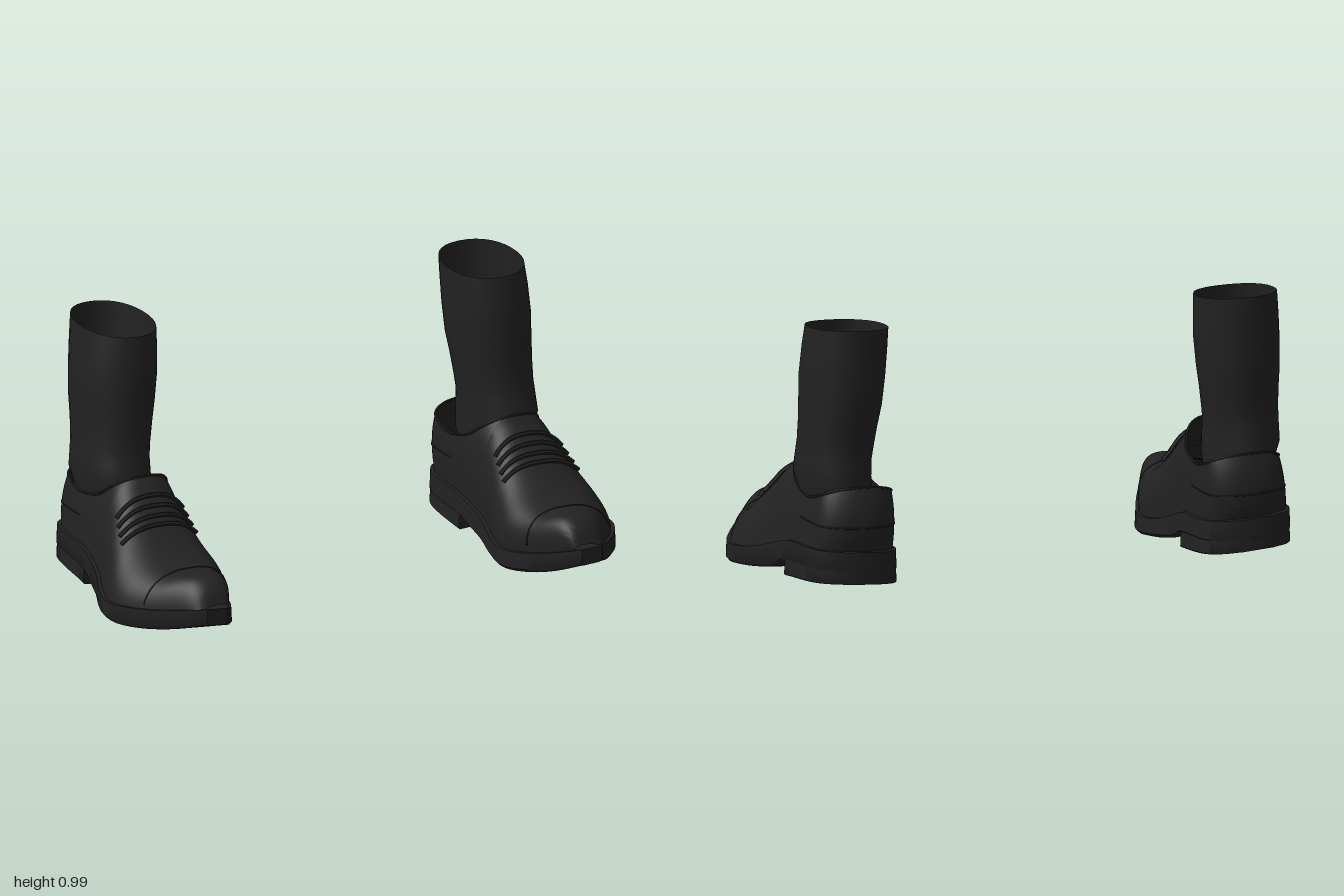
import * as THREE from 'three';
import { mergeGeometries, mergeVertices, toCreasedNormals } from 'three/addons/utils/BufferGeometryUtils.js';

// Smooth lookup in a table of [z, value] pairs, z ascending
function at(table, z) {
  const n = table.length;
  if (z <= table[0][0]) return table[0][1];
  if (z >= table[n - 1][0]) return table[n - 1][1];
  let i = 0;
  while (z > table[i + 1][0]) i++;
  const slope = (k) => {
    const a = table[Math.max(k - 1, 0)], b = table[Math.min(k + 1, n - 1)];
    return (b[1] - a[1]) / (b[0] - a[0]);
  };
  const h = table[i + 1][0] - table[i][0], t = (z - table[i][0]) / h, t2 = t * t, t3 = t2 * t;
  return (2 * t3 - 3 * t2 + 1) * table[i][1] + (t3 - 2 * t2 + t) * h * slope(i)
    + (3 * t2 - 2 * t3) * table[i + 1][1] + (t3 - t2) * h * slope(i + 1);
}

// Plan outline and heights of the shoe along z
const INNER = [[-.505, .69], [-.485, .635], [-.45, .595], [-.38, .573], [-.2, .572], [-.05, .582], [.08, .558],
  [.18, .546], [.3, .585], [.4, .632], [.47, .672], [.5, .70]];
const OUTER = [[-.505, .80], [-.485, .85], [-.45, .885], [-.38, .905], [-.2, .914], [-.05, .94], [.05, .978],
  [.13, .999], [.2, .99], [.3, .94], [.4, .872], [.47, .822], [.5, .785]];
const SOLE_TOP = [[-.5, .198], [-.35, .19], [-.2, .177], [-.1, .148], [0, .113], [.1, .092], [.2, .09], [.3, .1], [.4, .12], [.5, .145]];
const SOLE_BOTTOM = [[-.5, .12], [-.18, .095], [-.1, .062], [0, .038], [.1, .026], [.2, .02], [.3, .028], [.4, .05], [.5, .086]];
const HEEL_BOTTOM = [[-.5, .082], [-.185, .048]];
const RIDGE = [[-.5, .58], [-.3, .55], [-.17, .515], [-.1, .492], [-.06, .47], [0, .412], [.05, .36], [.1, .315],
  [.15, .277], [.2, .252], [.25, .237], [.3, .233], [.36, .239], [.4, .236], [.43, .222], [.46, .192], [.48, .15]];
const COLLAR = [[-.485, .42], [-.4, .387], [-.3, .366], [-.17, .39], [-.1, .437], [-.06, .47]];
const tilt = (x) => .075 * (x - .77);
const THROAT = -.06, BACK = -.485, POWER = .8;

// Triangle grid through rows of points
function grid(rows, closed) {
  const m = rows[0].length, index = [];
  for (let i = 0; i < rows.length - 1; i++) {
    for (let j = 0; j < (closed ? m : m - 1); j++) {
      const k = (j + 1) % m, a = i * m + j, b = i * m + k, c = a + m, d = b + m;
      index.push(a, b, c, b, d, c);
    }
  }
  const g = new THREE.BufferGeometry();
  g.setAttribute('position', new THREE.Float32BufferAttribute(rows.flat(2), 3));
  g.setIndex(index);
  return g;
}

// Collapse a ring to its centre, to cap a loft
const capRow = (row) => {
  const c = [0, 1, 2].map((k) => row.reduce((sum, p) => sum + p[k], 0) / row.length);
  return row.map(() => c);
};

// Slab following the plan outline between two heights
function slab(z0, z1, bottom, top, bevel) {
  const rows = [], n = 48;
  for (let i = 0; i <= n; i++) {
    const z = z0 + (z1 - z0) * (.5 - .5 * Math.cos(Math.PI * i / n));
    const l = at(INNER, z), r = at(OUTER, z), b = at(bottom, z), t = at(top, z);
    rows.push([[l + bevel, b], [l, b + bevel], [l + .003, t], [r - .003, t], [r, b + bevel], [r - bevel, b]]
      .map(([x, y]) => [x, y + tilt(x), z]));
  }
  return grid([capRow(rows[0]), ...rows, capRow(rows[n])], true);
}

// Point on the leather upper: side is -1 or 1, u runs from the welt (0) to the ridge (PI / 2)
function upperPoint(z, side, u, lift = 0) {
  const zo = Math.max(z, -.4), l = at(INNER, zo), r = at(OUTER, zo);
  const t = Math.min(Math.max((-.4 - z) / .085, 0), 1);
  const w = ((r - l) / 2 - .016) * Math.sqrt(1 - t * t) + lift;
  const c = Math.max(Math.cos(u), 0) ** POWER, s = Math.sin(u) ** POWER;
  const x = (l + r) / 2 + side * w * c - .02 * s;
  const base = at(SOLE_TOP, z) - .01 + tilt(x) * (1 - s);
  const y = base + (at(RIDGE, z) + lift - base) * s;
  // rounded heel bulge
  const k = THREE.MathUtils.smoothstep(-z, .3, .485);
  return [x, y, z - k * (.012 + lift - 1.8 * (y - .28) ** 2)];
}

// Angle u at which the upper reaches a given height
function angleAt(z, y) {
  const base = at(SOLE_TOP, z) - .01;
  const f = Math.min(Math.max((y - base) / (at(RIDGE, z) - base), 0), 1);
  return Math.asin(f ** (1 / POWER));
}
const openAngle = (z) => (z >= THROAT ? Math.PI / 2 : angleAt(z, at(COLLAR, z)));

const zRows = [];
for (let i = 0; i <= 30; i++) zRows.push(.48 - (.48 - THROAT) * (i / 30) ** 1.5);
for (let i = 1; i <= 26; i++) zRows.push(THROAT + (BACK - THROAT) * (.5 - .5 * Math.cos(Math.PI * i / 26)));

function upperGeometry() {
  const n = 14;
  const halves = [-1, 1].map((side) => grid(zRows.map((z) => {
    const row = [];
    for (let j = 0; j <= n; j++) row.push(upperPoint(z, side, openAngle(z) * (side < 0 ? j : n - j) / n));
    return row;
  }), false));
  return mergeVertices(mergeGeometries(halves), 1e-5);
}

function tube(points, radius, segments, closed = false) {
  const curve = new THREE.CatmullRomCurve3(points.map((p) => new THREE.Vector3(...p)), closed);
  return new THREE.TubeGeometry(curve, segments, radius, 6, closed);
}

// Line running round the heel from one side to the other
function roundHeel(heightAt, from) {
  const zs = zRows.filter((z) => z <= from);
  const line = (side) => zs.map((z) => upperPoint(z, side, heightAt(z)));
  return [...line(-1), ...line(1).reverse().slice(1)];
}

// Line across the instep or toe
function across(z, u0, lift) {
  const pts = [];
  for (let i = 0; i <= 16; i++) {
    const a = u0 + (Math.PI - 2 * u0) * i / 16;
    pts.push(a <= Math.PI / 2 ? upperPoint(z, -1, a, lift) : upperPoint(z, 1, Math.PI - a, lift));
  }
  return pts;
}

// Sock rings: height, inner x, outer x, back z, front z
const SOCK = [[.2, .66, .85, -.43, -.16], [.3, .645, .865, -.44, -.12], [.38, .64, .875, -.448, -.09],
  [.44, .642, .893, -.455, -.085], [.5, .64, .89, -.447, -.104], [.55, .632, .887, -.446, -.116], [.62, .622, .885, -.457, -.118],
  [.7, .608, .886, -.472, -.12], [.8, .597, .885, -.478, -.12], [.9, .592, .878, -.482, -.133], [.975, .59, .87, -.485, -.145]];

function sockGeometry() {
  const n = 32;
  const rows = SOCK.map(([y, l, r, b, f], i) => {
    const ring = [];
    for (let j = 0; j < n; j++) {
      const a = j / n * Math.PI * 2, c = Math.cos(a), s = Math.sin(a);
      const round = (v) => Math.sign(v) * Math.abs(v) ** .9;
      const slope = i === SOCK.length - 1 ? .017 * s + .006 * c : 0;
      ring.push([(l + r) / 2 + (r - l) / 2 * round(c), y + slope, (b + f) / 2 - (f - b) / 2 * round(s)]);
    }
    return ring;
  });
  return grid([capRow(rows[0]), ...rows], true);
}

export function createModel() {
  const model = new THREE.Group();
  const black = new THREE.MeshStandardMaterial({ color: 0x222222, side: THREE.DoubleSide });
  black.name = 'black';

  for (const s of [1, -1]) {
    const shoe = new THREE.Group();
    shoe.name = s > 0 ? 'leftShoe' : 'rightShoe';
    model.add(shoe);
    const add = (name, g, crease = .8) => {
      if (s < 0) {
        g.scale(-1, 1, 1);
        g.index.array.reverse();
      }
      const mesh = new THREE.Mesh(toCreasedNormals(g, crease), black);
      mesh.name = name;
      shoe.add(mesh);
    };

    add('sole', slab(.503, -.503, SOLE_BOTTOM, SOLE_TOP, .012));
    add('heel', slab(-.185, -.503, HEEL_BOTTOM, SOLE_BOTTOM.map(([z, y]) => [z, y + .014]), .004));
    add('upper', upperGeometry(), 1.2);
    add('sock', sockGeometry(), 1.2);

    // collar rim, heel and toe seams
    add('collarRim', tube(roundHeel(openAngle, THROAT), .005, 90));
    add('heelSeam', tube(roundHeel((z) => angleAt(z, .282), -.26), .003, 70));
    add('toeSeam', tube(across(.29, .15, 0), .003, 30));

    // four laces across the instep
    [.085, .058, .03, .002].forEach((z) => add('lace', tube(across(z, .85, .008), .008, 20)));
  }
  return model;
}
